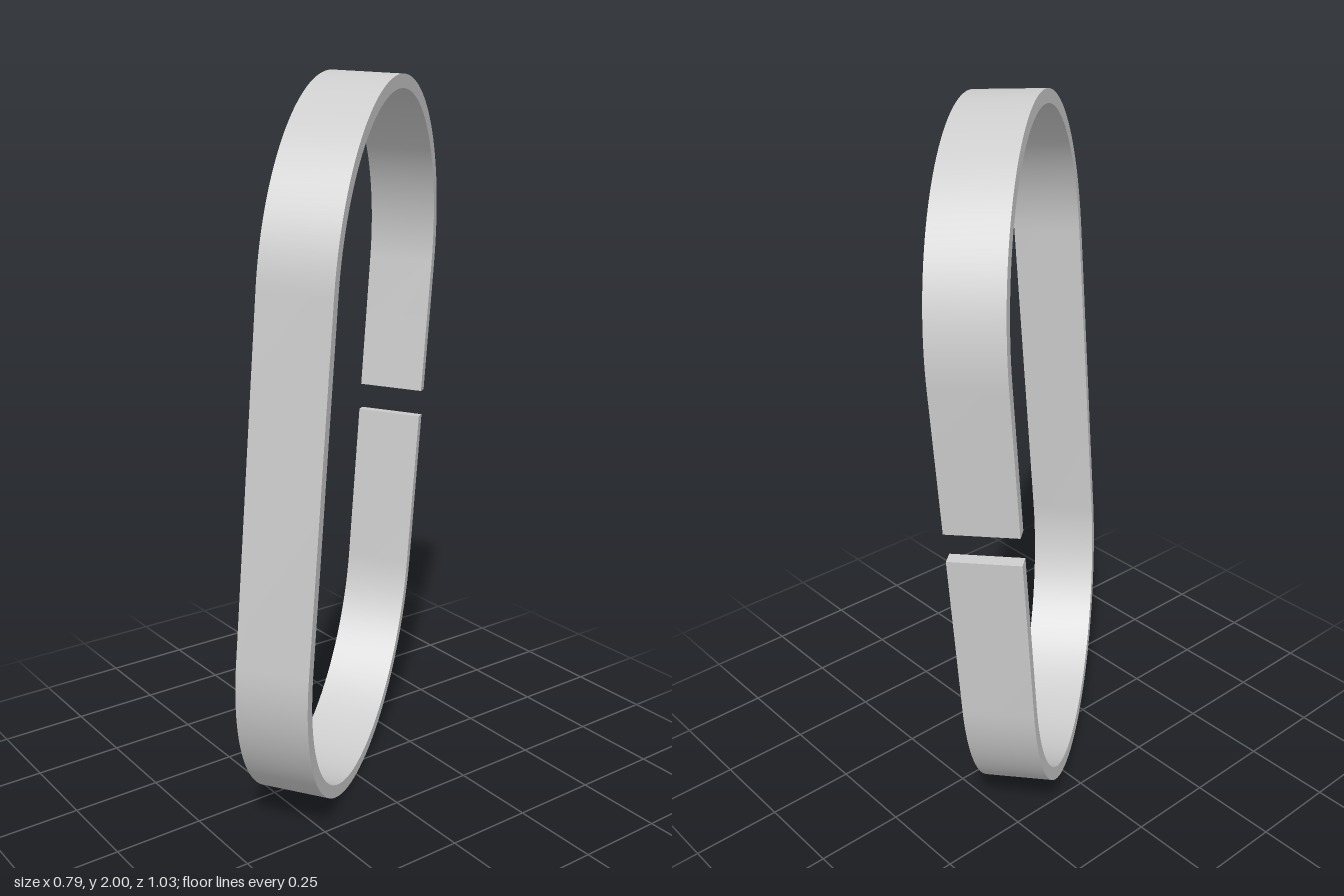
import * as THREE from 'three';
import { toCreasedNormals } from 'three/addons/utils/BufferGeometryUtils.js';

const RADIUS = 0.526;      // outer radius of the rounded ends
const THICKNESS = 0.036;
const HALF_STRAIGHT = 0.471;
const WIDTH = 0.192;       // depth of the band
const GAP = [0, 0.08];     // opening in one straight side

// Open C-shaped outline: outer edge round from the gap, inner edge back
function bandShape() {
  const R = RADIUS, r = RADIUS - THICKNESS, H = HALF_STRAIGHT;
  const [low, high] = GAP;
  const shape = new THREE.Shape();
  shape.moveTo(-R, low);
  shape.lineTo(-R, -H);
  shape.absarc(0, -H, R, Math.PI, 2 * Math.PI, false);
  shape.lineTo(R, H);
  shape.absarc(0, H, R, 0, Math.PI, false);
  shape.lineTo(-R, high);
  shape.lineTo(-r, high);
  shape.lineTo(-r, H);
  shape.absarc(0, H, r, Math.PI, 0, true);
  shape.lineTo(r, -H);
  shape.absarc(0, -H, r, 2 * Math.PI, Math.PI, true);
  shape.lineTo(-r, low);
  shape.closePath();
  return shape;
}

export function createModel() {
  const model = new THREE.Group();
  model.name = 'openLink';

  const metal = new THREE.MeshStandardMaterial({ color: 0xcccccc });
  metal.name = 'light grey metal';

  const geometry = new THREE.ExtrudeGeometry(bandShape(), {
    depth: WIDTH, bevelEnabled: false, curveSegments: 48,
  });
  geometry.translate(0, 0, -WIDTH / 2);

  // Flat band bent into an oblong loop, turned and leaning slightly back
  const band = new THREE.Mesh(toCreasedNormals(geometry, 0.5), metal);
  band.name = 'band';
  band.rotation.set(-0.0838, -0.921, 0);
  band.position.y = 1;
  model.add(band);

  return model;
}
